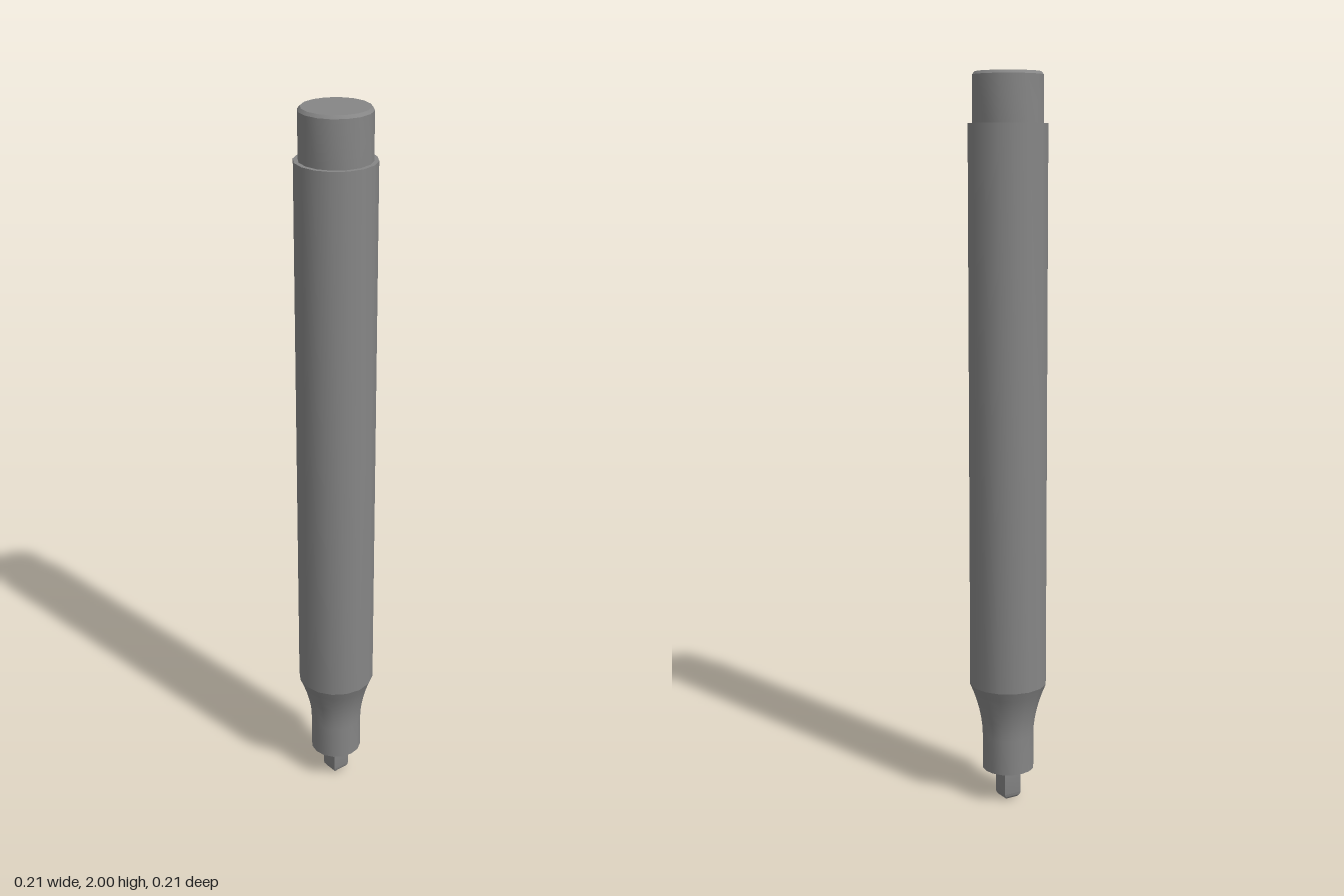
import * as THREE from 'three';
import { toCreasedNormals } from 'three/addons/utils/BufferGeometryUtils.js';

const material = new THREE.MeshStandardMaterial({ color: 0x868686 });

// Turns a bottom-to-top list of [radius, y] into a smooth part with sharp rims.
function turned(name, profile, sides = 16) {
  const points = profile.map(([r, y]) => new THREE.Vector2(r, y));
  const geometry = toCreasedNormals(new THREE.LatheGeometry(points, sides), 0.55);
  const mesh = new THREE.Mesh(geometry, material);
  mesh.name = name;
  return mesh;
}

export function createModel() {
  const pen = new THREE.Group();
  pen.name = 'markerPen';

  // Square writing tip with a rounded lower end
  const half = 0.0255, round = 0.018;
  const tip = [[0, 0]];
  for (let i = 0; i <= 4; i++) {
    const a = (i / 4) * Math.PI / 2;
    tip.push([(half - round + round * Math.sin(a)) * Math.SQRT2, round * (1 - Math.cos(a))]);
  }
  tip.push([half * Math.SQRT2, 0.1]);
  const nib = turned('nib', tip, 4);
  nib.rotation.y = Math.PI / 4;
  pen.add(nib);

  // Narrow collar flaring out in a concave curve to the barrel
  const grip = [[0, 0.092], [0.072, 0.092]];
  for (let i = 0; i <= 6; i++) {
    const t = i / 6;
    grip.push([0.072 + 0.035 * Math.pow(t, 1.9), 0.19 + 0.15 * t]);
  }
  pen.add(turned('grip', grip));

  // Long straight barrel with a flat shoulder
  pen.add(turned('barrel', [[0.107, 0.34], [0.107, 1.868], [0, 1.868]]));

  // End plug with a small bevel
  pen.add(turned('endPlug', [[0.095, 1.868], [0.095, 1.992], [0.088, 2], [0, 2]]));

  return pen;
}
